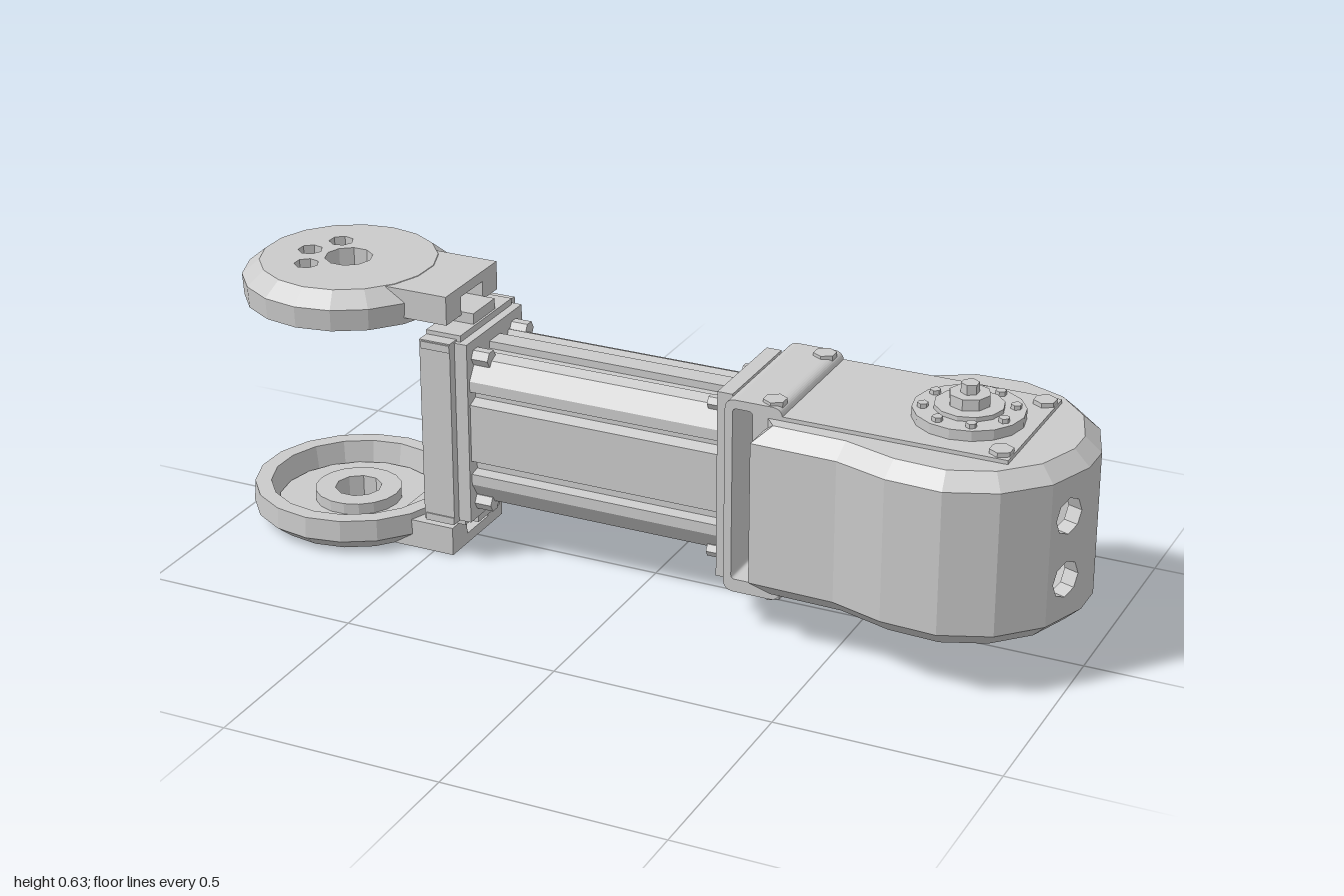
import * as THREE from 'three';

const grey = new THREE.MeshStandardMaterial({ color: 0xcacaca, flatShading: true, side: THREE.DoubleSide });
grey.name = 'light grey';
const MID = 0.315; // height of the arm's long axis

export function createModel() {
  const model = new THREE.Group();
  const add = (name, geo, parent = model) => {
    const mesh = new THREE.Mesh(geo, grey);
    mesh.name = name;
    parent.add(mesh);
    return mesh;
  };
  // box given by its limits
  const box = (name, x0, x1, y0, y1, z0, z1, parent) =>
    add(name, new THREE.BoxGeometry(x1 - x0, y1 - y0, z1 - z0)
      .translate((x0 + x1) / 2, (y0 + y1) / 2, (z0 + z1) / 2), parent);
  // upright cylinder given by its base height
  const rod = (name, x, z, r, y0, y1, parent, sides = 8) =>
    add(name, new THREE.CylinderGeometry(r, r, y1 - y0, sides).translate(x, (y0 + y1) / 2, z), parent);
  // cylinder lying along x
  const pin = (name, x, y, z, r, length, sides = 6) =>
    add(name, new THREE.CylinderGeometry(r, r, length, sides).rotateZ(Math.PI / 2).translate(x, y, z));
  const extrude = (shape, depth) =>
    new THREE.ExtrudeGeometry(shape, { depth, bevelEnabled: false, curveSegments: 9 });
  const hole = (shape, x, y, r, sides = 8) => {
    const pts = [];
    for (let i = 0; i < sides; i++) {
      const a = -i / sides * Math.PI * 2;
      pts.push(new THREE.Vector2(x + r * Math.cos(a), y + r * Math.sin(a)));
    }
    shape.holes.push(new THREE.Path(pts));
  };
  const roundRect = (path, x0, y0, x1, y1, r) =>
    path.moveTo(x0 + r, y0).lineTo(x1 - r, y0).quadraticCurveTo(x1, y0, x1, y0 + r)
      .lineTo(x1, y1 - r).quadraticCurveTo(x1, y1, x1 - r, y1)
      .lineTo(x0 + r, y1).quadraticCurveTo(x0, y1, x0, y1 - r)
      .lineTo(x0, y0 + r).quadraticCurveTo(x0, y0, x0 + r, y0);

  // Grooved tube running along x
  const quarter = [[0.025, 0.185], [0.025, 0.168], [0.06, 0.168], [0.065, 0.18], [0.09, 0.17], [0.12, 0.125],
    [0.12, 0.1], [0.095, 0.095], [0.095, 0.078], [0.12, 0.068]];
  const right = [...quarter, ...quarter.slice().reverse().map(([z, y]) => [z, -y])];
  const section = [...right, ...right.slice().reverse().map(([z, y]) => [-z, y])];
  const tubeShape = new THREE.Shape(section.map(([z, y]) => new THREE.Vector2(z, y)));
  add('tube', extrude(tubeShape, 0.62).rotateY(Math.PI / 2).translate(-0.4, MID, 0));

  // Flanges at the two tube ends
  box('motorEndFlange', 0.205, 0.24, 0.1, 0.535, -0.13, 0.13);
  box('forkEndFlange', -0.43, -0.395, 0.1, 0.53, -0.13, 0.13);
  for (const s of [-1, 1]) {
    for (const y of [0.14, 0.49]) {
      pin('flangeBolt', -0.385, y, s * 0.09, 0.02, 0.06);
      pin('flangeBolt', 0.195, y, s * 0.09, 0.016, 0.05);
    }
    // Channel side walls at the fork
    box('channelWall', -0.5, -0.425, 0.1, 0.535, s * 0.135 - 0.017, s * 0.135 + 0.017);
  }
  for (const y of [0.19, 0.315, 0.44]) pin('channelBoss', -0.435, y, 0, 0.035, 0.03, 8);

  // One fork arm: a round dish on a neck, built with its outer face up
  const makeFork = () => {
    const fork = new THREE.Group();
    fork.name = 'forkArm';
    const cx = -0.762;
    const rim = [[0.2, 0.0], [0.237, 0.0], [0.24, 0.05], [0.2, 0.083], [0.18, 0.083], [0.19, 0.05], [0.2, 0]];
    add('dishRim', new THREE.LatheGeometry(rim.map(p => new THREE.Vector2(...p)), 18)
      .translate(cx, 0.547, 0), fork);
    const plate = (name, r, y0, y1, bolts) => {
      const s = new THREE.Shape();
      s.absarc(0, 0, r, 0, Math.PI * 2);
      hole(s, 0, 0, 0.054, 10);
      if (bolts) for (const a of [130, 180, 230]) {
        hole(s, 0.1 * Math.cos(a * Math.PI / 180), 0.1 * Math.sin(a * Math.PI / 180), 0.028, 7);
      }
      add(name, extrude(s, y1 - y0).rotateX(-Math.PI / 2).translate(cx, y0, 0), fork);
    };
    plate('dishFace', 0.19, 0.605, 0.63, true);
    plate('dishFloor', 0.185, 0.596, 0.605, false);
    plate('dishHub', 0.1, 0.57, 0.596, false);
    // Neck with a notch open towards the tube
    box('neckTop', -0.6, -0.45, 0.605, 0.629, -0.118, 0.118, fork);
    box('neckInner', -0.6, -0.45, 0.562, 0.57, -0.118, 0.118, fork);
    box('neckBack', -0.6, -0.52, 0.565, 0.61, -0.118, 0.118, fork);
    for (const s of [-1, 1]) {
      box('neckCheek', -0.6, -0.45, 0.562, 0.61, s * 0.084 - 0.034, s * 0.084 + 0.034, fork);
    }
    // Stepped bracket joining the neck to the channel
    box('neckLug', -0.47, -0.42, 0.54, 0.57, -0.05, 0.05, fork);
    box('bracketStep', -0.5, -0.415, 0.53, 0.545, -0.12, 0.12, fork);
    box('bracketPlate', -0.495, -0.425, 0.515, 0.532, -0.155, 0.155, fork);
    return fork;
  };
  model.add(makeFork());
  const lower = makeFork();
  lower.rotation.x = Math.PI;
  lower.position.y = 2 * MID;
  model.add(lower);

  // Open bracket frame between tube and motor
  const frame = roundRect(new THREE.Shape(), 0.238, 0.09, 0.37, 0.54, 0.025);
  frame.holes.push(roundRect(new THREE.Path(), 0.256, 0.12, 0.302, 0.52, 0.01));
  add('bracketFrame', extrude(frame, 0.335).translate(0, 0, -0.17));

  // Motor body
  box('motorBody', 0.33, 0.865, 0.115, 0.522, -0.17, 0.165);
  box('motorBackPanel', 0.4, 0.52, 0.17, 0.47, -0.178, -0.168);
  for (const y of [0.245, 0.39]) for (const z of [-0.095, 0.095]) pin('bodyScrew', 0.87, y, z, 0.015, 0.03, 5);

  // Round shell around the motor, open at the back
  const outline = [[0.325, 0.15], [0.325, 0.23], [0.52, 0.235]];
  for (const a of [106, 80, 56, 32, 8, -8, -32, -56, -80, -106, -133]) {
    const t = a * Math.PI / 180;
    outline.push([0.718 + 0.283 * Math.cos(t), 0.283 * Math.sin(t)]);
  }
  outline.push([0.55, -0.15]);
  const last = outline.length - 1;
  const normal = (p, q) => {
    const d = Math.hypot(q[0] - p[0], q[1] - p[1]);
    return [-(q[1] - p[1]) / d, (q[0] - p[0]) / d];
  };
  const inset = outline.map((p, i) => {
    if (i === 0 || i === last) return p;
    const a = normal(outline[i - 1], p), b = normal(p, outline[i + 1]);
    const k = 0.036 / (1 + a[0] * b[0] + a[1] * b[1]);
    return [p[0] - (a[0] + b[0]) * k, p[1] - (a[1] + b[1]) * k];
  });
  const shell = new THREE.Group();
  shell.name = 'motorShell';
  model.add(shell);
  for (let i = 0; i < last; i++) {
    const p = outline[i], q = outline[i + 1], n = normal(p, q);
    const w = Math.hypot(q[0] - p[0], q[1] - p[1]);
    const s = new THREE.Shape([[0, 0.155], [w, 0.155], [w, 0.48], [0, 0.48]].map(v => new THREE.Vector2(...v)));
    // The two panels either side of the nose carry a pair of holes
    if (i === 6 || i === 8) for (const y of [0.245, 0.39]) hole(s, w / 2, y, 0.041);
    const basis = new THREE.Matrix4().makeBasis(
      new THREE.Vector3((q[0] - p[0]) / w, 0, (q[1] - p[1]) / w),
      new THREE.Vector3(0, 1, 0), new THREE.Vector3(n[0], 0, n[1])).setPosition(p[0], 0, p[1]);
    add('shellPanel', extrude(s, 0.035).translate(0, 0, -0.035).applyMatrix4(basis), shell);
  }
  // Chamfers and flat caps above and below the panels
  const chamfer = (low, y0, high, y1) => {
    const v = [];
    for (let i = 0; i < last; i++) {
      const [a, b] = [low[i], low[i + 1]].map(p => [p[0], y0, p[1]]);
      const [d, c] = [high[i], high[i + 1]].map(p => [p[0], y1, p[1]]);
      v.push(...a, ...b, ...c, ...a, ...c, ...d);
    }
    const g = new THREE.BufferGeometry();
    g.setAttribute('position', new THREE.Float32BufferAttribute(v, 3));
    g.computeVertexNormals();
    add('shellChamfer', g, shell);
  };
  chamfer(inset, 0.12, outline, 0.155);
  chamfer(outline, 0.48, inset, 0.513);
  const cap = new THREE.Shape(inset.map(([x, z]) => new THREE.Vector2(x, -z)));
  for (const y of [0.12, 0.483]) add('shellCap', extrude(cap, 0.03).rotateX(-Math.PI / 2).translate(0, y, 0), shell);

  // Output flanges above and below the motor, with a ring of bolts
  const cx = 0.72;
  rod('outputFlange', cx, 0, 0.12, 0.515, 0.545, model, 16);
  rod('outputRing', cx, 0, 0.075, 0.545, 0.555, model, 12);
  rod('outputHub', cx, 0, 0.045, 0.555, 0.58, model);
  rod('outputTip', cx, 0, 0.02, 0.58, 0.602, model, 6);
  rod('lowerFlange', cx, 0, 0.115, 0.092, 0.125, model, 16);
  rod('lowerHub', cx, 0, 0.05, 0.088, 0.1, model);
  for (let i = 0; i < 8; i++) {
    const a = (i + 0.5) * Math.PI / 4, x = cx + 0.097 * Math.cos(a), z = 0.097 * Math.sin(a);
    rod('flangeScrew', x, z, 0.012, 0.54, 0.555, model, 6);
    rod('flangeScrew', x, z, 0.012, 0.086, 0.1, model, 6);
  }
  // Corner screws on the motor body
  for (const x of [0.34, 0.84]) for (const z of [-0.135, 0.135]) {
    rod('cornerScrew', x, z, 0.026, 0.515, x < 0.5 ? 0.547 : 0.532, model, 6);
    rod('cornerScrew', x, z, 0.026, x < 0.5 ? 0.085 : 0.105, 0.12, model, 6);
  }
  return model;
}
